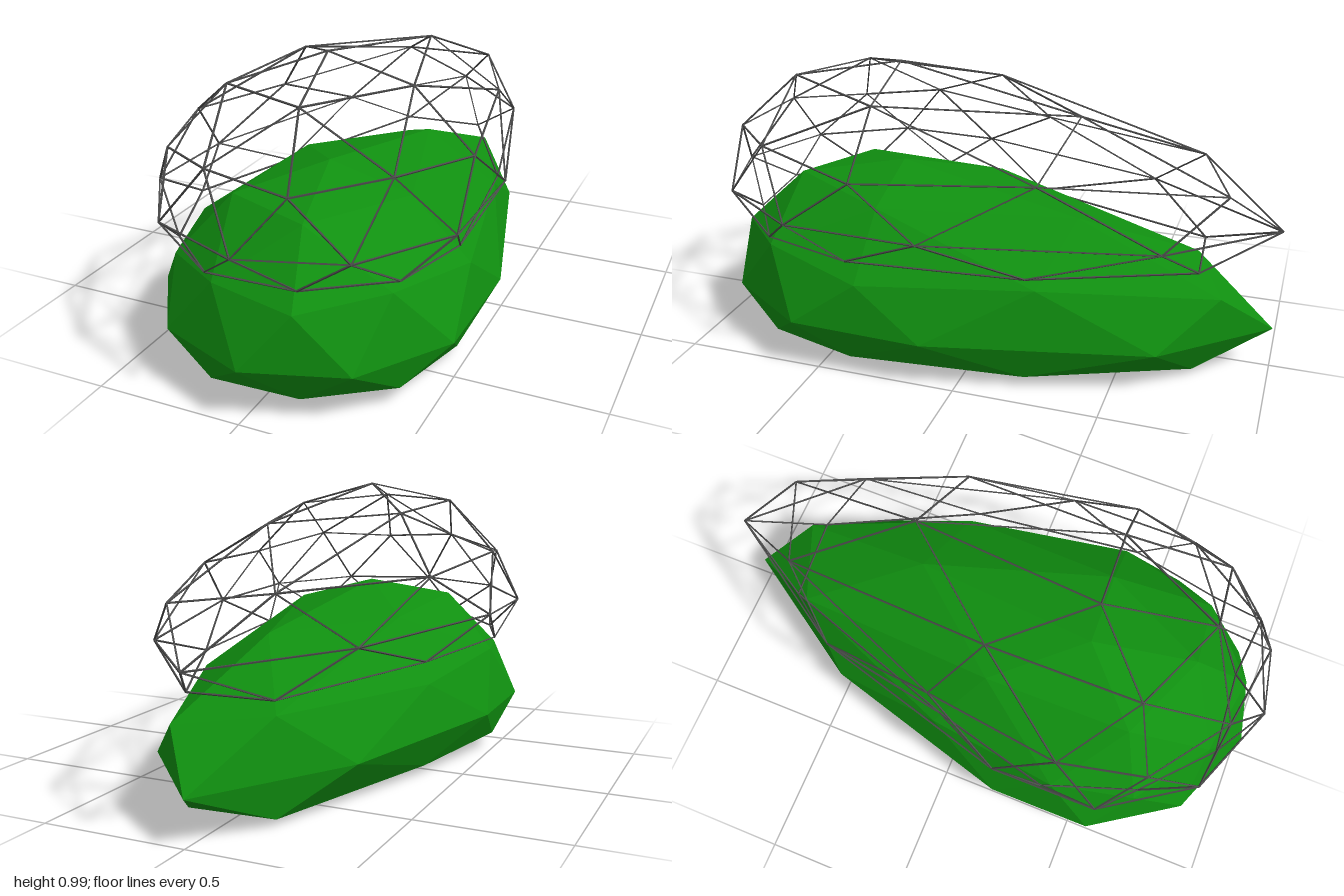
import * as THREE from 'three';
import { mergeGeometries } from 'three/addons/utils/BufferGeometryUtils.js';

// A ring of points: x follows the angle, [y, z] pairs shape the teardrop
function ring(radius, startDeg, yz) {
  return yz.map(([y, z], i) => {
    const t = THREE.MathUtils.degToRad(startDeg + (360 / yz.length) * i);
    const r = Array.isArray(radius) ? radius[i % 2] : radius;
    return new THREE.Vector3(r * Math.cos(t), y, z);
  });
}

const top = new THREE.Vector3(0, 0.62, 0.36);
const crown = ring(0.29, 0, [[0.54, 0.35], [0.51, -0.32], [0.53, 0.06], [0.55, 0.59], [0.56, 0.73]]);
const shoulder = ring([0.494, 0.47], 0, [
  [0.34, 0.35], [0.36, -0.25], [0.31, -0.83], [0.34, -0.71], [0.33, -0.08],
  [0.375, 0.4], [0.35, 0.69], [0.39, 0.88], [0.37, 0.93], [0.39, 0.72]]);
const girdle = ring(0.552, 18,
  [0.11, -0.65, -1, -0.51, 0.2, 0.57, 0.87, 1, 0.89, 0.58].map((z) => [0.167 + 0.018 * z, z]));
const skirt = ring([0.47, 0.494], 0, [
  [0.047, 0.39], [0.04, -0.22], [0.025, -0.75], [0.025, -0.73], [0.035, -0.06],
  [0.058, 0.37], [0.045, 0.69], [0.065, 0.9], [0.057, 0.88], [0.062, 0.71]]);
const base = ring(0.29, 36, [[0.005, 0], [0.002, -0.33], [0.02, 0.36], [0.03, 0.73], [0.028, 0.6]]);
const bottom = new THREE.Vector3(0, 0.015, 0.36);

// Fan cap: pole, a ring of five, and a ring of ten whose points at `shift` line up with the five
function cap(pole, five, ten, shift, flip) {
  const faces = [];
  for (let k = 0; k < 5; k++) {
    const a = five[k], b = five[(k + 1) % 5];
    const j = 2 * k + shift;
    const prev = ten[(j + 9) % 10], mid = ten[j % 10], next = ten[(j + 1) % 10];
    faces.push([pole, a, b], [a, prev, mid], [a, mid, next], [a, next, b]);
  }
  return flip ? faces.map(([a, b, c]) => [a, c, b]) : faces;
}

// Zigzag band of triangles; lower[j] sits between upper[j + lag] and upper[j + lag + 1]
function band(upper, lower, lag) {
  const faces = [];
  for (let j = 0; j < 10; j++) {
    const u0 = upper[(j + lag + 10) % 10], u1 = upper[(j + lag + 1) % 10];
    faces.push([u0, lower[j], u1], [u1, lower[j], lower[(j + 1) % 10]]);
  }
  return faces;
}

function facetGeometry(faces) {
  const geometry = new THREE.BufferGeometry().setFromPoints(faces.flat());
  geometry.computeVertexNormals();
  return geometry;
}

// One thin four-sided bar along every edge of the faces
function barGeometry(faces, radius) {
  const seen = new Map();
  for (const f of faces) {
    f.forEach((a, i) => {
      const b = f[(i + 1) % 3];
      const key = (p) => p.toArray().map((v) => v.toFixed(4)).join();
      seen.set([key(a), key(b)].sort().join('|'), [a, b]);
    });
  }
  const up = new THREE.Vector3(0, 1, 0);
  return mergeGeometries([...seen.values()].map(([a, b]) => {
    const dir = b.clone().sub(a);
    const bar = new THREE.CylinderGeometry(radius, radius, dir.length(), 4);
    bar.applyQuaternion(new THREE.Quaternion().setFromUnitVectors(up, dir.normalize()));
    const m = a.clone().add(b).multiplyScalar(0.5);
    return bar.translate(m.x, m.y, m.z);
  }));
}

export function createModel() {
  const group = new THREE.Group();

  const dome = [
    ...cap(top, crown, shoulder, 0, false),
    ...band(shoulder, girdle, 0),
    ...band(girdle, skirt, -1),
  ];
  const underside = cap(bottom, base, skirt, 1, true);

  // Faceted teardrop shell
  const shell = new THREE.Mesh(
    facetGeometry([...dome, ...underside]),
    new THREE.MeshStandardMaterial({ color: 0x109010, flatShading: true }));
  shell.name = 'shell';

  // Open wire cage repeating the dome, raised above the shell
  const cage = new THREE.Mesh(
    barGeometry(dome, 0.0035),
    new THREE.MeshStandardMaterial({ color: 0x4a4a4a, flatShading: true }));
  cage.name = 'wireCage';
  cage.position.y = 0.368;

  group.add(shell, cage);
  return group;
}
